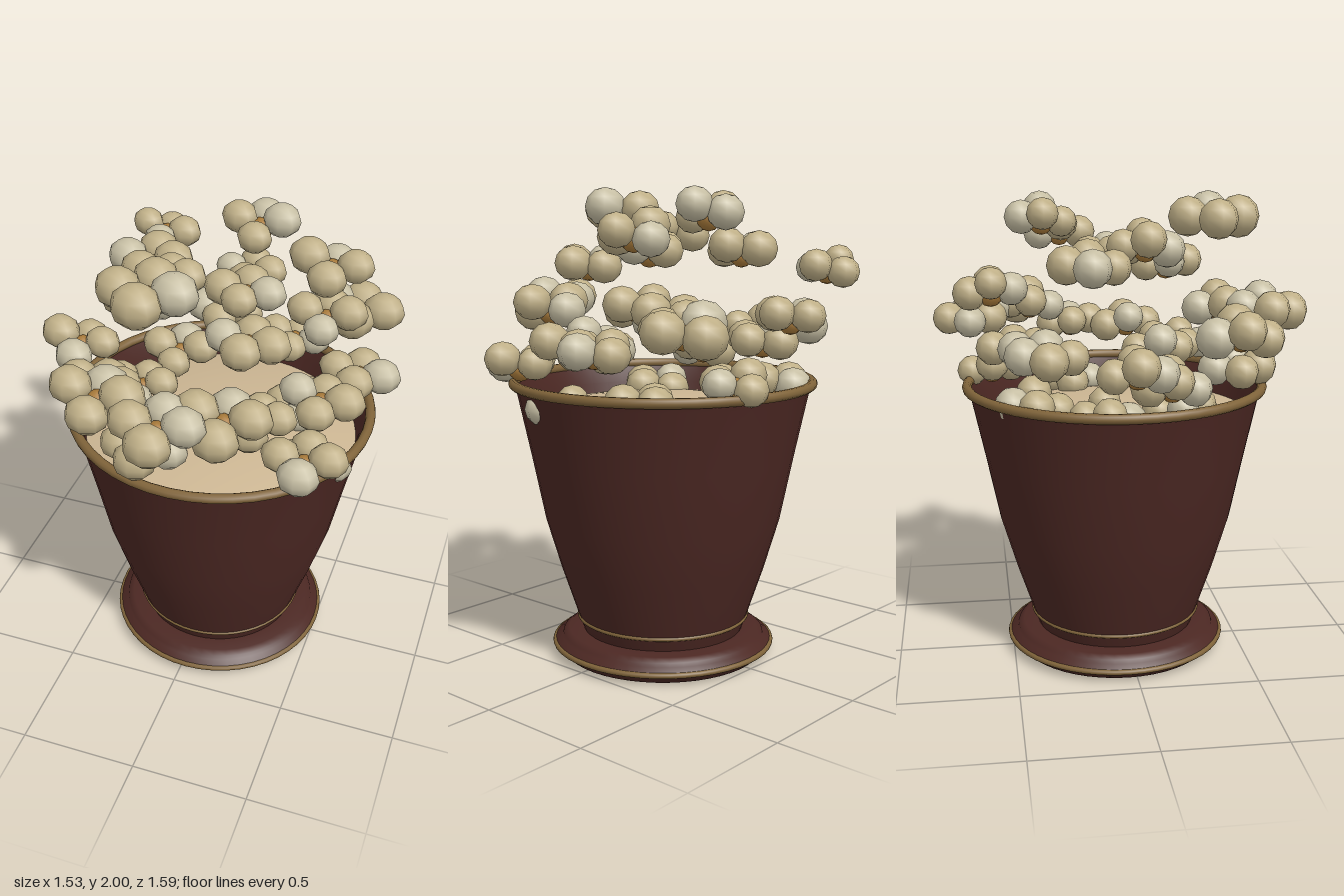
import * as THREE from 'three';

const mat = (color, side = THREE.FrontSide) => new THREE.MeshStandardMaterial({ color, side });
const CX = 0.035, CZ = -0.04; // bucket axis

export function createModel() {
  const model = new THREE.Group();
  const brown = mat(0x4c2823, THREE.DoubleSide), gold = mat(0x80643a);
  const tan = mat(0xc0b088), pale = mat(0xc8c0a5), husk = mat(0xa87a3a), cream = mat(0xccb693);

  const add = (parent, name, geometry, material, x = 0, y = 0, z = 0) => {
    const mesh = new THREE.Mesh(geometry, material);
    mesh.name = name;
    mesh.position.set(x, y, z);
    parent.add(mesh);
    return mesh;
  };
  const lathe = (pts) => new THREE.LatheGeometry(pts.map(([r, y]) => new THREE.Vector2(r, y)), 48);

  // Bucket: flared wall, moulded foot and gold bands
  const bucket = new THREE.Group();
  bucket.name = 'bucket';
  bucket.position.set(CX, 0, CZ);
  model.add(bucket);
  add(bucket, 'wall', lathe([[0.345, 0.1], [0.37, 0.17], [0.44, 0.38], [0.505, 0.6], [0.56, 0.87],
    [0.618, 1.14], [0.63, 1.18]]), brown);
  add(bucket, 'innerWall', lathe([[0.62, 1.18], [0.59, 1.1], [0.54, 0.87]]), brown);
  add(bucket, 'foot', lathe([[0, 0], [0.43, 0], [0.472, 0.035], [0.472, 0.055], [0.44, 0.068],
    [0.435, 0.085], [0.41, 0.1], [0.34, 0.102]]), brown);
  for (const [name, r, tube, y] of [['rim', 0.632, 0.021, 1.18], ['lowerBand', 0.365, 0.009, 0.16],
    ['footBand', 0.47, 0.012, 0.045]]) {
    add(bucket, name, new THREE.TorusGeometry(r, tube, 10, 48), gold, 0, y, 0).rotation.x = Math.PI / 2;
  }
  // Shallow mound closing the bucket under the loose pieces
  add(bucket, 'filling', lathe([[0.58, 1.05], [0.45, 1.08], [0.25, 1.11], [0, 1.12]]), cream);

  // Popped kernels, four puffs round a husk: x, y, z, puff size
  const kernels = [
    // top, floating
    [-0.13, 1.9, 0.345, 0.087], [0.1, 1.89, -0.34, 0.07], [0.43, 1.81, -0.24, 0.074],
    [0.22, 1.68, 0.21, 0.073], [-0.32, 1.73, -0.18, 0.078], [-0.17, 1.8, 0.06, 0.075],
    [-0.4, 1.67, -0.57, 0.066], [0.13, 1.74, -0.05, 0.072],
    // middle
    [0, 1.5, 0.61, 0.083], [-0.32, 1.45, 0.43, 0.085], [0.49, 1.46, -0.54, 0.088],
    [-0.03, 1.49, -0.65, 0.07], [0.39, 1.49, -0.38, 0.074], [-0.59, 1.37, -0.03, 0.075],
    [0.585, 1.37, -0.18, 0.073], [-0.45, 1.4, -0.36, 0.077], [0.21, 1.48, 0.46, 0.084],
    [0.49, 1.38, 0.07, 0.075], [-0.09, 1.38, -0.47, 0.074],
    // resting in the bucket
    [0.5, 1.27, 0.34, 0.075], [-0.44, 1.28, 0.13, 0.076], [0.21, 1.24, -0.56, 0.07],
    [-0.12, 1.27, 0.46, 0.078], [-0.28, 1.17, -0.4, 0.075], [0.25, 1.31, 0.18, 0.076],
    [-0.2, 1.13, 0.2, 0.073], [0.36, 1.14, -0.2, 0.073], [-0.36, 1.14, -0.12, 0.073],
    [0.49, 1.1, 0.13, 0.066],
  ];
  const puff = new THREE.SphereGeometry(1, 8, 6);
  const core = new THREE.SphereGeometry(0.05, 8, 6);
  kernels.forEach(([x, y, z, r], i) => {
    const kernel = new THREE.Group();
    kernel.name = 'kernel';
    kernel.position.set(x, y, z);
    model.add(kernel);
    add(kernel, 'husk', core, husk, 0, -0.03, 0);
    for (let k = 0; k < 4; k++) {
      const a = k * Math.PI / 2;
      const s = r * (1 + 0.05 * Math.sin(i * 2.3 + k * 1.9));
      const lift = (k % 2 ? -0.012 : 0.012) + 0.015 * Math.sin(i * 1.7 + k * 2.4);
      const p = add(kernel, 'puff', puff, (i + k * 2) % 7 < 2 ? pale : tan,
        Math.cos(a) * r * 1.28, lift, Math.sin(a) * r * 1.2);
      p.scale.set(s * 1.1, s * 0.97, s * 0.97);
    }
  });
  return model;
}
